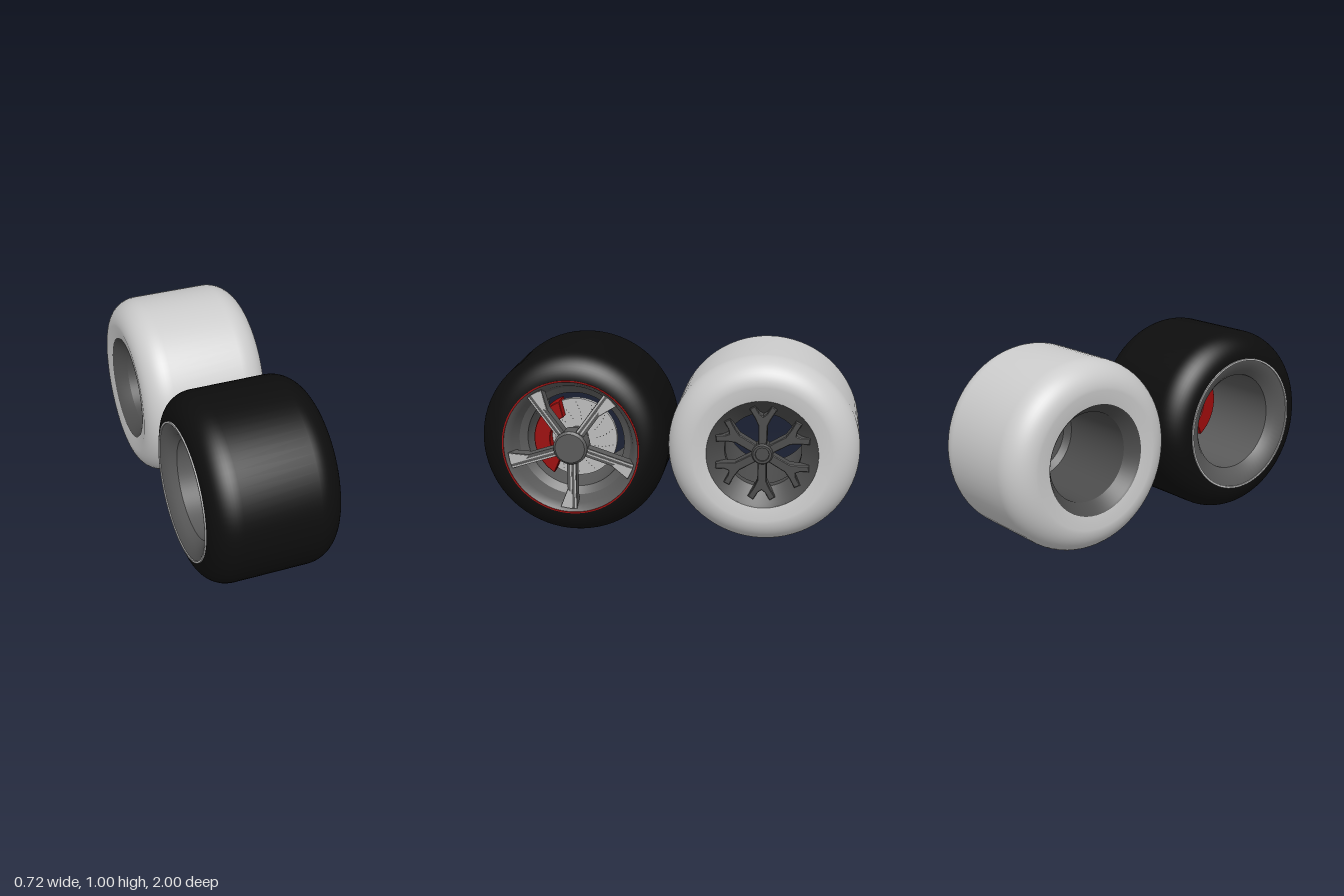
import * as THREE from 'three';
import { toCreasedNormals } from 'three/addons/utils/BufferGeometryUtils.js';

const mat = (name, color, side = THREE.FrontSide) => {
  const m = new THREE.MeshStandardMaterial({ color, side });
  m.name = name;
  return m;
};

export function createModel() {
  const black = mat('black rubber', 0x0d0d0d);
  const pale = mat('pale rubber', 0xcccccc);
  const grey = mat('rim grey', 0x5a5a5a, THREE.DoubleSide);
  const dark = mat('dark rim grey', 0x4c4c4c, THREE.DoubleSide);
  const silver = mat('silver', 0xbcbcbc);
  const red = mat('red', 0x9c0c0c);

  const add = (parent, name, geometry, material, z = 0) => {
    const m = new THREE.Mesh(geometry, material);
    m.name = name;
    m.position.z = z;
    parent.add(m);
    return m;
  };
  // Profiles are [radius, z] pairs turned about the z axis
  const turn = (pts, crease = 0.5) => toCreasedNormals(
    new THREE.LatheGeometry(pts.map(p => new THREE.Vector2(...p)), 72).rotateX(Math.PI / 2), crease);
  const disc = (r, depth, n = 48) => new THREE.CylinderGeometry(r, r, depth, n).rotateX(Math.PI / 2);
  const plate = (pts, depth, bevel = 0) => new THREE.ExtrudeGeometry(
    new THREE.Shape(pts.map(p => new THREE.Vector2(...p))),
    { depth, bevelEnabled: bevel > 0, bevelSize: bevel, bevelThickness: bevel, bevelSegments: 1 });

  // Tyre with elliptical shoulders, from the back bead to the front bead
  const tyre = (inner, drop) => {
    const pts = [], rx = 0.148, n = 14;
    const lo = -0.352, hi = 0.345;
    pts.push([inner, lo + drop]);
    for (let i = 0; i <= n; i++) {
      const a = i / n * Math.PI / 2;
      pts.push([0.36 + 0.14 * Math.sin(a), lo + rx - rx * Math.cos(a)]);
    }
    for (let i = n; i >= 0; i--) {
      const a = i / n * Math.PI / 2;
      pts.push([0.36 + 0.14 * Math.sin(a), hi - rx + rx * Math.cos(a)]);
    }
    pts.push([inner, hi - drop]);
    return turn(pts, 0.9);
  };

  // Wheels are built facing local +z, then turned to face +x
  const wheel = (name, z) => {
    const g = new THREE.Group();
    g.name = name;
    g.position.set(0, 0.5, z);
    g.rotation.y = Math.PI / 2;
    return g;
  };
  const spokes = (parent, name, count, start, build) => {
    for (let i = 0; i < count; i++) {
      const s = new THREE.Group();
      s.name = name + (i + 1);
      s.rotation.z = start + i * Math.PI * 2 / count;
      build(s);
      parent.add(s);
    }
  };

  // Front wheel: black tyre, five spokes, brake
  const front = wheel('frontWheel', 0.5);
  add(front, 'tyre', tyre(0.358, 0), black);
  add(front, 'rim', turn([[0.36, -0.354], [0.345, -0.352], [0.292, -0.32], [0.264, -0.29], [0.262, 0.2],
    [0.3, 0.23], [0.325, 0.3], [0.345, 0.335], [0.36, 0.346]]), grey);
  add(front, 'redRimStripe', turn([[0.365, 0.343], [0.365, 0.348], [0.357, 0.348], [0.357, 0.343]]), red);
  add(front, 'backRimEdge', turn([[0.355, -0.35], [0.355, -0.359], [0.365, -0.359], [0.365, -0.35]]), silver);

  const spokeBody = plate([[-0.026, 0.05], [0.022, 0.05], [0.022, 0.23], [0.062, 0.336], [0, 0.345], [-0.026, 0.345]], 0.06);
  const flare = plate([[0.018, 0.235], [0.058, 0.332], [0.006, 0.34], [0.006, 0.25]], 0.004);
  const ridge = plate([[-0.004, 0.08], [0.004, 0.08], [0.004, 0.34], [-0.004, 0.34]], 0.004);
  spokes(front, 'frontSpoke', 5, Math.PI, s => {
    add(s, 'spokeBody', spokeBody, grey, 0.272);
    add(s, 'spokeFlare', flare, silver, 0.331);
    add(s, 'spokeRidge', ridge, silver, 0.331).position.x = -0.019;
    add(s, 'spokeRidge', ridge, silver, 0.331).position.x = 0.002;
  });
  add(front, 'hubCap', turn([[0.09, 0.26], [0.09, 0.345], [0.078, 0.356], [0, 0.356]]), grey);
  add(front, 'axle', disc(0.06, 0.2), grey, 0.2);

  // Drilled brake disc with swept rows of holes
  add(front, 'brakeDisc', disc(0.215, 0.024, 64), silver, 0.14);
  const hole = new THREE.CircleGeometry(0.0035, 6);
  for (let i = 0; i < 14; i++) {
    for (let j = 0; j < 6; j++) {
      const a = i / 14 * Math.PI * 2 + j * 0.05, r = 0.105 + j * 0.018;
      add(front, 'discHole', hole, dark, 0.153).position.set(r * Math.cos(a), r * Math.sin(a), 0.153);
    }
  }
  const sector = new THREE.Shape();
  const a0 = 1.97, a1 = 4.13;
  sector.absarc(0, 0, 0.222, a0, a1, false);
  sector.absarc(0, 0, 0.142, a1 - 0.1, a0 + 0.1, true);
  add(front, 'brakeCaliper', toCreasedNormals(new THREE.ExtrudeGeometry(sector, {
    depth: 0.1, curveSegments: 20, bevelSize: 0.004, bevelThickness: 0.008, bevelSegments: 2 }), 0.5), red, 0.1);

  // Rear wheel: pale tyre, six forked spokes
  const rear = wheel('rearWheel', -0.5);
  add(rear, 'tyre', tyre(0.287, 0.012), pale);
  add(rear, 'rim', turn([[0.289, -0.342], [0.28, -0.335], [0.235, -0.27], [0.23, 0.17], [0.2, 0.2],
    [0.2, 0.25], [0.27, 0.315], [0.289, 0.335]]), dark);
  const fork = plate([[-0.018, 0.03], [0.018, 0.03], [0.02, 0.15], [0.038, 0.19], [0.066, 0.235], [0.044, 0.25],
    [0.022, 0.212], [0, 0.195], [-0.022, 0.212], [-0.044, 0.25], [-0.066, 0.235], [-0.038, 0.19], [-0.02, 0.15]], 0.055, 0.004);
  spokes(rear, 'rearSpoke', 6, 0, s => add(s, 'forkedSpoke', fork, dark, 0.25));
  add(rear, 'hub', turn([[0.001, 0.24], [0.055, 0.24], [0.055, 0.315], [0.048, 0.325], [0.036, 0.325],
    [0.034, 0.318], [0, 0.318]]), dark);

  const model = new THREE.Group();
  model.name = 'wheelPair';
  model.add(front, rear);
  return model;
}
